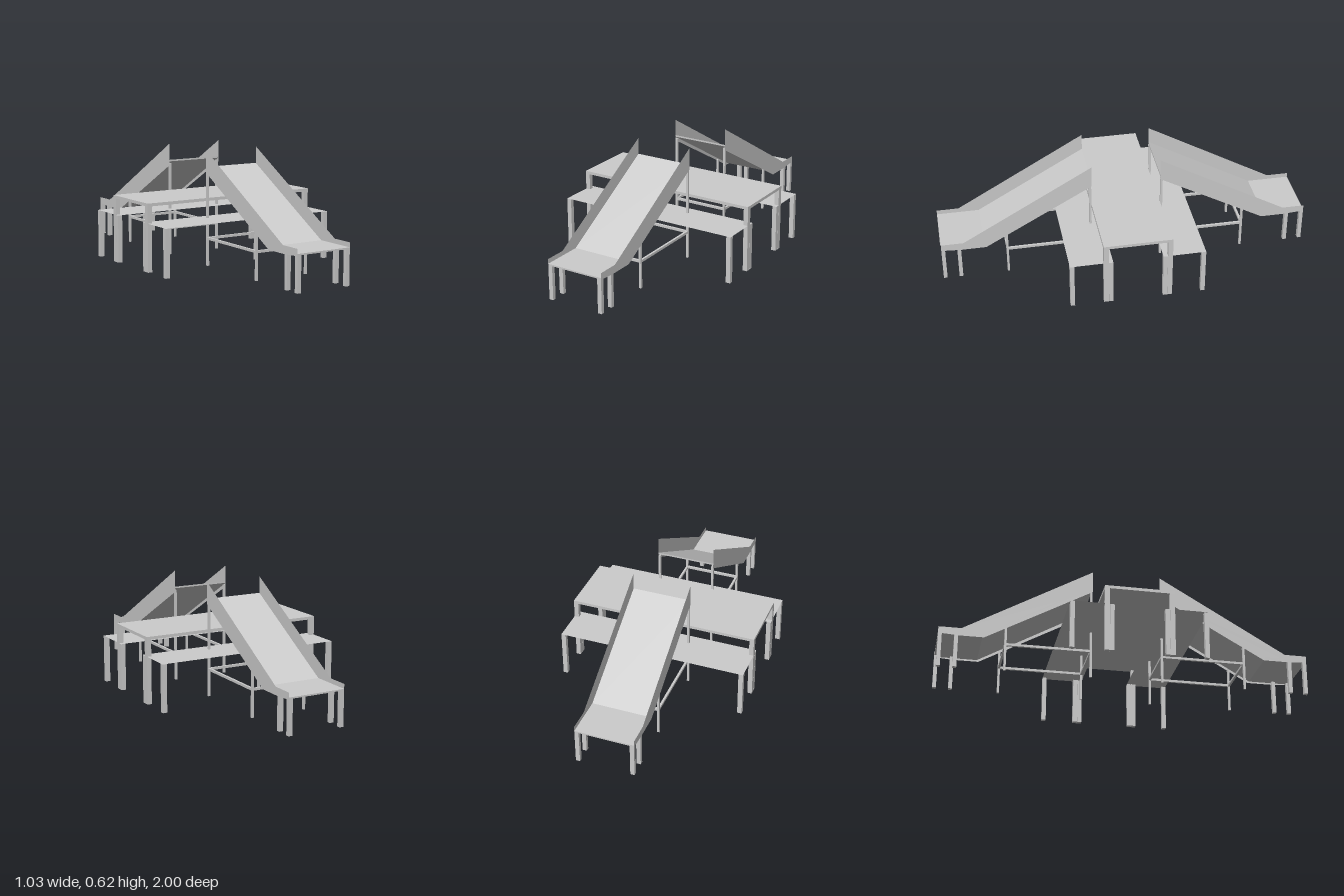
import * as THREE from 'three';

const grey = new THREE.MeshStandardMaterial({ color: 0xcccccc, flatShading: true, side: THREE.DoubleSide });

// Box given by its extents on each axis
function box(parent, name, [x0, x1], [y0, y1], [z0, z1]) {
  const mesh = new THREE.Mesh(new THREE.BoxGeometry(x1 - x0, y1 - y0, z1 - z0), grey);
  mesh.name = name;
  mesh.position.set((x0 + x1) / 2, (y0 + y1) / 2, (z0 + z1) / 2);
  parent.add(mesh);
}

// Extent [a, b] mirrored when side is -1
const mirror = (side, a, b) => (side > 0 ? [a, b] : [-b, -a]);

// Side profile from [z, y] points
const profile = (points) => new THREE.Shape(points.map(([z, y]) => new THREE.Vector2(z, y)));

// Slide descending towards +z
function createSlide() {
  const slide = new THREE.Group();
  slide.name = 'slide';
  const W = 0.16;

  // Sliding surface with flat run-out
  const bedShape = profile([
    [0.185, 0.53], [0.77, 0.195], [1, 0.195], [1, 0.187], [0.768, 0.187], [0.185, 0.521],
  ]);
  const bedGeo = new THREE.ExtrudeGeometry(bedShape, { depth: 2 * W, bevelEnabled: false });
  const bed = new THREE.Mesh(bedGeo.translate(0, 0, -W).rotateY(-Math.PI / 2), grey);
  bed.name = 'slideBed';
  slide.add(bed);

  const panelShape = profile([
    [0.185, 0.62], [0.88, 0.22], [1, 0.22], [1, 0.184], [0.895, 0.177], [0.76, 0.177], [0.185, 0.5],
  ]);
  for (const side of [-1, 1]) {
    // Thin side panel
    const panel = new THREE.Mesh(new THREE.ShapeGeometry(panelShape).rotateY(-Math.PI / 2), grey);
    panel.name = 'slideSidePanel';
    panel.position.x = side * W;
    slide.add(panel);

    // Run-out legs
    for (const z of [[0.895, 0.915], [0.98, 1]]) {
      box(slide, 'slideLeg', mirror(side, 0.137, 0.16), [0, 0.188], z);
    }

    // Slim posts under the slope and the rail joining them
    const x = mirror(side, 0.148, 0.16);
    box(slide, 'slideTallPost', x, [0, 0.51], [0.187, 0.199]);
    box(slide, 'slideShortPost', x, [0, 0.245], [0.641, 0.653]);
    box(slide, 'slideSideRail', x, [0.142, 0.155], [0.199, 0.641]);
  }

  // Cross rails
  for (const z of [[0.187, 0.199], [0.641, 0.653]]) {
    box(slide, 'slideCrossRail', [-0.148, 0.148], [0.142, 0.155], z);
  }
  return slide;
}

// Table top on four legs
function createTable() {
  const table = new THREE.Group();
  table.name = 'table';
  box(table, 'tableTop', [-0.515, 0.515], [0.347, 0.363], [-0.183, 0.183]);
  for (const sx of [-1, 1]) {
    for (const sz of [-1, 1]) {
      box(table, 'tableLeg', mirror(sx, 0.49, 0.515), [0, 0.347], mirror(sz, 0.157, 0.183));
    }
  }
  return table;
}

// Thin bench on the +z side of the table
function createBench() {
  const bench = new THREE.Group();
  bench.name = 'bench';
  const seat = new THREE.Mesh(new THREE.PlaneGeometry(1.03, 0.228).rotateX(-Math.PI / 2), grey);
  seat.name = 'benchSeat';
  seat.position.set(0, 0.258, 0.247);
  bench.add(seat);
  for (const side of [-1, 1]) {
    for (const z of [[0.133, 0.156], [0.338, 0.361]]) {
      box(bench, 'benchLeg', mirror(side, 0.49, 0.515), [0, 0.257], z);
    }
  }
  return bench;
}

export function createModel() {
  const model = new THREE.Group();
  model.name = 'playTableWithSlides';
  model.add(createTable());

  // One bench and one slide on each long side
  for (const turn of [0, Math.PI]) {
    const half = new THREE.Group();
    half.name = turn ? 'backHalf' : 'frontHalf';
    half.add(createSlide(), createBench());
    half.rotation.y = turn;
    model.add(half);
  }
  return model;
}
